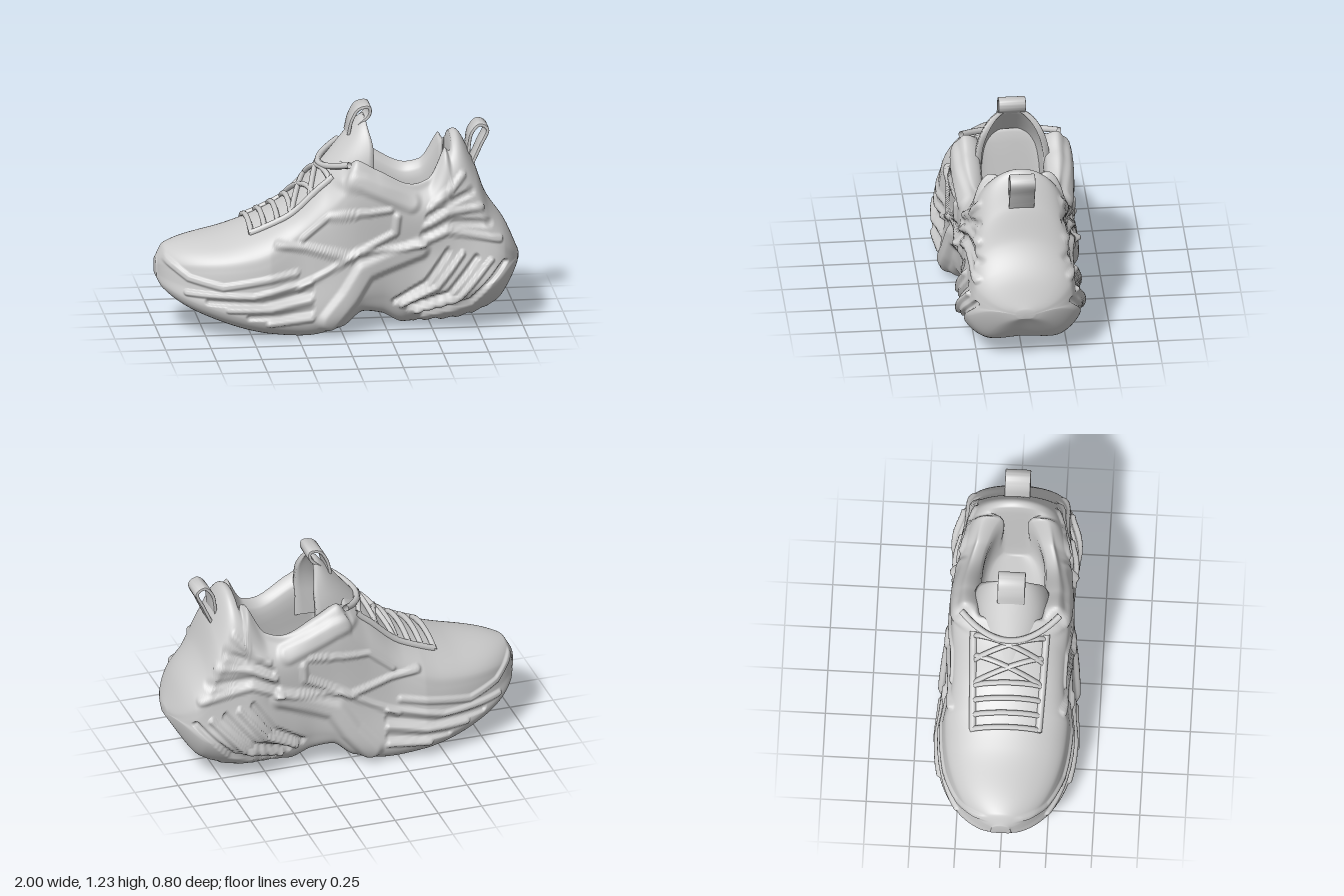
import * as THREE from 'three';
import { toCreasedNormals } from 'three/addons/utils/BufferGeometryUtils.js';

const V = (x, y, z) => new THREE.Vector3(x, y, z);
const { lerp, smoothstep, clamp } = THREE.MathUtils;

// Smooth monotone curve through [x, value] pairs
function curve(p) {
  const d = p.slice(1).map((q, i) => (q[1] - p[i][1]) / (q[0] - p[i][0]));
  const m = p.map((_, i) => {
    if (i === 0) return d[0];
    if (i === d.length) return d[i - 1];
    return d[i - 1] * d[i] <= 0 ? 0 : 2 * d[i - 1] * d[i] / (d[i - 1] + d[i]);
  });
  return x => {
    let i = 0;
    while (i < p.length - 2 && x > p[i + 1][0]) i++;
    const h = p[i + 1][0] - p[i][0], t = clamp((x - p[i][0]) / h, 0, 1), s = t * t * (3 - 2 * t);
    return lerp(p[i][1], p[i + 1][1], s) + h * t * (1 - t) * ((1 - t) * m[i] - t * m[i + 1]);
  };
}

// Shape of the shoe along its length (toe at -x, heel at +x)
const bottom = curve([[-1, .29], [-.97, .24], [-.75, .12], [-.4, .02], [-.2, 0], [0, .04],
  [.12, .12], [.22, .1], [.35, .035], [.6, .05], [.85, .13], [1, .32]]);
const top = curve([[-1, .39], [-.95, .465], [-.6, .55], [-.3, .68], [-.08, .89], [.06, .975], [.2, .91], [.4, .82],
  [.48, .84], [.6, 1.03], [.65, 1.06], [.75, .89], [.82, .7], [.93, .53], [1, .37]]);
const bend = curve([[-1, .35], [-.5, .39], [-.1, .62], [.1, .8], [.4, .69], [.65, .7], [.85, .45], [1, .35]]);
const soleSide = curve([[-.4, .385], [0, .35], [.37, .29], [.6, .335]]);
const upperSide = curve([[-.4, .345], [-.2, .31], [.1, .325], [.5, .295], [.7, .255], [.9, .32]]);
// Rounded plan of toe and heel
const endRound = x => Math.max(.15, Math.sqrt(1 - Math.max(0, (-.4 - x) / .6) ** 2 - Math.max(0, (x - .68) / .32) ** 3) || 0);
const soleW = x => soleSide(x) * endRound(x);
const bendW = x => upperSide(x) * endRound(x);
const crownY = (x, z) => bend(x) + (top(x) - bend(x)) * Math.sqrt(Math.max(0, 1 - (z / bendW(x)) ** 2));

// Loft closed rings into a skin, closing the chosen ends
function loft(rings, capStart) {
  const centre = r => {
    const c = r.reduce((s, p) => s.add(p), V(0, 0, 0)).divideScalar(r.length);
    return r.map(() => c);
  };
  const all = [...(capStart ? [centre(rings[0])] : []), ...rings, centre(rings.at(-1))];
  const n = rings[0].length, index = [];
  for (let i = 0; i < all.length - 1; i++) for (let j = 0; j < n; j++) {
    const a = i * n + j, b = a + n, k = (j + 1) % n, c = (i + 1) * n + k, d = i * n + k;
    index.push(a, b, c, a, c, d);
  }
  const g = new THREE.BufferGeometry().setFromPoints(all.flat());
  g.setIndex(index);
  g.computeVertexNormals();
  return g;
}

// One section of the shoe: sole, side wall, then crown or padded opening
const SPANS = [9, 11, 19, 19, 9, 6, 6, 6, 6];
function section(x) {
  const yb = bottom(x), yt = top(x), w = soleW(x), y4 = bend(x), w2 = bendW(x);
  const wr = lerp(.29, .2, smoothstep(x, .2, .65));
  const k = smoothstep(x, .01, .09) * (1 - smoothstep(x, .575, .62));
  const wi = Math.max(.03, .175 * Math.sqrt(Math.max(0, 1 - Math.max(0, (x - .25) / .35) ** 3)));
  const open = [[wr, yt - .04], [(wr + wi) / 2 + .02, yt], [wi + .005, yt - .05], [wi * .95, .45], [0, .42]];
  const waist = 1 - .05 * Math.exp(-(((x - .25) / .15) ** 2));
  const edge = endRound(x) * lerp(.07, .15, smoothstep(x, 0, .5));
  const half = [[0, yb], [w * lerp(.84, .66, smoothstep(x, .1, .5)), yb + .003],
    [w * waist, yb + edge], [lerp(w, w2, .55), lerp(yb + edge, y4, .5)], [w2, y4]];
  open.forEach(([zo, yo], i) => {
    const a = (i + 1) * Math.PI / 10;
    half.push([lerp(w2 * Math.cos(a), zo, k), lerp(y4 + (yt - y4) * Math.sin(a), yo, k)]);
  });
  const pts = [...half.map(([z, y]) => V(x, y, z)), ...half.slice(1, 9).reverse().map(([z, y]) => V(x, y, -z))];
  const loop = new THREE.CatmullRomCurve3(pts, true), ring = [];
  [...SPANS, ...[...SPANS].reverse()].forEach((n, s) => {
    for (let i = 0; i < n; i++) ring.push(loop.getPoint((s + i / n) / 18));
  });
  return ring;
}

// Side relief strokes: [height, half width, x, y, x, y, ...]
const relief = [
  [.02, .065, -.02, .89, .12, .85, .38, .73],                    // collar strap
  [.02, .026, -.36, .52, -.2, .5, .03, .44, .29, .57, .3, .66],  // quarter panel
  [.016, .022, -.22, .55, -.08, .67, .26, .7],
  [.03, .075, -.08, .09, .03, .22, .12, .36, .42, .47],          // arch wing
  [.016, .022, -.24, .28, .08, .46, .45, .5],                    // midsole edge
  [.015, .026, -.97, .42, -.84, .33, -.66, .29, -.26, .36]
];
for (let i = 0; i < 5; i++) {
  const s = i % 2 ? -1 : 1;
  // forefoot waves, heel slashes and heel counter folds
  relief.push([.017 * s, .022, -.85 + .11 * i, .25 - .04 * i, -.5 + .05 * i, .24 - .035 * i, -.18, .31 - .05 * i]);
  relief.push([-.025 * s, .021, .29 + .04 * i, .17 - .02 * i, .46 + .06 * i, .28 - .03 * i, .58 + .08 * i, .45 - .02 * i]);
  relief.push([.016 * s, .026, .43 + .015 * i, .5 + .05 * i, .58, .56 + .05 * i, .87 - .05 * i, .5 + .09 * i]);
}
function reliefAt(x, y) {
  let sum = 0;
  for (const [h, w, ...p] of relief) {
    let best = 9;
    for (let i = 0; i < p.length - 2; i += 2) {
      const dx = p[i + 2] - p[i], dy = p[i + 3] - p[i + 1];
      const t = clamp(((x - p[i]) * dx + (y - p[i + 1]) * dy) / (dx * dx + dy * dy), 0, 1);
      best = Math.min(best, Math.hypot(x - p[i] - t * dx, y - p[i + 1] - t * dy));
    }
    sum += h * (1 - smoothstep(best, w * .35, w));
  }
  return sum;
}

function bodyGeometry() {
  const rings = [], N = 260;
  for (let i = 0; i <= N; i++) {
    const t = i / N;
    rings.push(section(.5 * (2 * t - 1) - .5 * Math.cos(Math.PI * t)));
  }
  const g = loft(rings, true), p = g.attributes.position, nr = g.attributes.normal;
  for (let i = 0; i < p.count; i++) {
    const x = p.getX(i), y = p.getY(i), z = p.getZ(i), nz = nr.getZ(i), ny = nr.getY(i);
    let d = 0;
    if (nz * z > 0) d = .85 * reliefAt(x, y) * smoothstep(Math.abs(nz), .25, .7);
    // tread waves on the ground faces
    if (ny < -.7 && (x < -.05 || x > .4)) {
      d += .007 * Math.sin(75 * x + 4 * Math.sin(11 * z)) * (1 - smoothstep(Math.abs(z) / soleW(x), .5, .75))
        * smoothstep(.85 - Math.abs(x), 0, .1);
    }
    p.setXYZ(i, x + nr.getX(i) * d, Math.max(0, y + ny * d), z + nz * d);
  }
  g.computeVertexNormals();
  return g;
}

// Padded tongue: crescent sections rising to a rounded tip
function tongueGeometry() {
  const rings = [];
  for (let i = 0; i <= 24; i++) {
    const y = lerp(.7, 1.16, i / 24), w = .205 * Math.sqrt(1 - Math.max(0, (y - .85) / .315) ** 2);
    const back = .185 - .03 * smoothstep(y, 1, 1.16), depth = back + .1 - (y - .89) * .83, ring = [];
    const arc = (r, s, dir) => {
      for (let j = 0; j <= 24; j++) {
        const a = dir * (.5 - j / 24) * Math.PI;
        ring.push(V(back - r * Math.cos(a), y, s * Math.sin(a)));
      }
    };
    arc(depth, w, 1);
    arc(Math.max(.005, depth - .045), Math.max(.005, w - .035), -1);
    rings.push(ring);
  }
  return loft(rings, false);
}

// Folded webbing loop, wide in z
function ribbonGeometry(points, width) {
  const c = new THREE.CatmullRomCurve3(points.map(([x, y]) => V(x, y, 0))), a = [], b = [];
  for (let i = 0; i <= 40; i++) {
    const p = c.getPoint(i / 40), t = c.getTangent(i / 40);
    a.push(new THREE.Vector2(p.x - t.y * .004, p.y + t.x * .004));
    b.unshift(new THREE.Vector2(p.x + t.y * .004, p.y - t.x * .004));
  }
  const g = new THREE.ExtrudeGeometry(new THREE.Shape([...a, ...b]),
    { depth: width - .01, bevelSize: .005, bevelThickness: .005, bevelSegments: 2 });
  return toCreasedNormals(g.translate(0, 0, .005 - width / 2), .7);
}

export function createModel() {
  const shoe = new THREE.Group();
  shoe.name = 'sneaker';
  const material = new THREE.MeshStandardMaterial({ color: 0xcccccc, side: THREE.DoubleSide });
  const add = (name, geometry) => {
    const mesh = new THREE.Mesh(geometry, material);
    mesh.name = name;
    shoe.add(mesh);
  };
  add('upperAndSole', bodyGeometry());
  add('tongue', tongueGeometry());
  add('tonguePullLoop', ribbonGeometry([[.06, 1.07], [.08, 1.15], [.12, 1.21], [.175, 1.215], [.175, 1.175], [.12, 1.12]], .15));
  add('heelPullLoop', ribbonGeometry([[.72, .93], [.74, 1.05], [.785, 1.095], [.827, 1.07], [.79, .98], [.745, .88]], .14));

  // Tube through 13 points given by a rule of t
  const cord = (name, r, at) => {
    const path = new THREE.CatmullRomCurve3(Array.from({ length: 13 }, (_, i) => at(i / 12)));
    add(name, new THREE.TubeGeometry(path, 36, r, 8));
  };
  // Cord lying on the crown from (x0, z0) to (x1, z1)
  const crownCord = (name, x0, z0, x1, z1, r, lift) => cord(name, r, t => {
    const x = lerp(x0, x1, t), z = lerp(z0, z1, t);
    return V(x, crownY(x, z) + lift * Math.sqrt(Math.max(0, Math.sin(Math.PI * t))), z);
  });
  for (let i = 0; i < 4; i++) crownCord('straightLace', -.5 + .073 * i, -.19, -.49 + .073 * i, .19, .016, .016);
  for (const s of [-1, 1]) {
    crownCord('eyeletRail', -.5, .18 * s, -.04, .2 * s, .02, 0);
    crownCord('crossLace', -.27, .19 * s, -.15, -.19 * s, .015, .018);
    crownCord('crossLace', -.17, .19 * s, -.06, -.2 * s, .015, .022);
  }
  // Top lace between the collar flaps
  cord('topLace', .018, t => {
    const s = 2 * t - 1;
    return V(-.1 + .14 * s * s, .9 + .05 * s * s, .27 * s);
  });
  return shoe;
}
